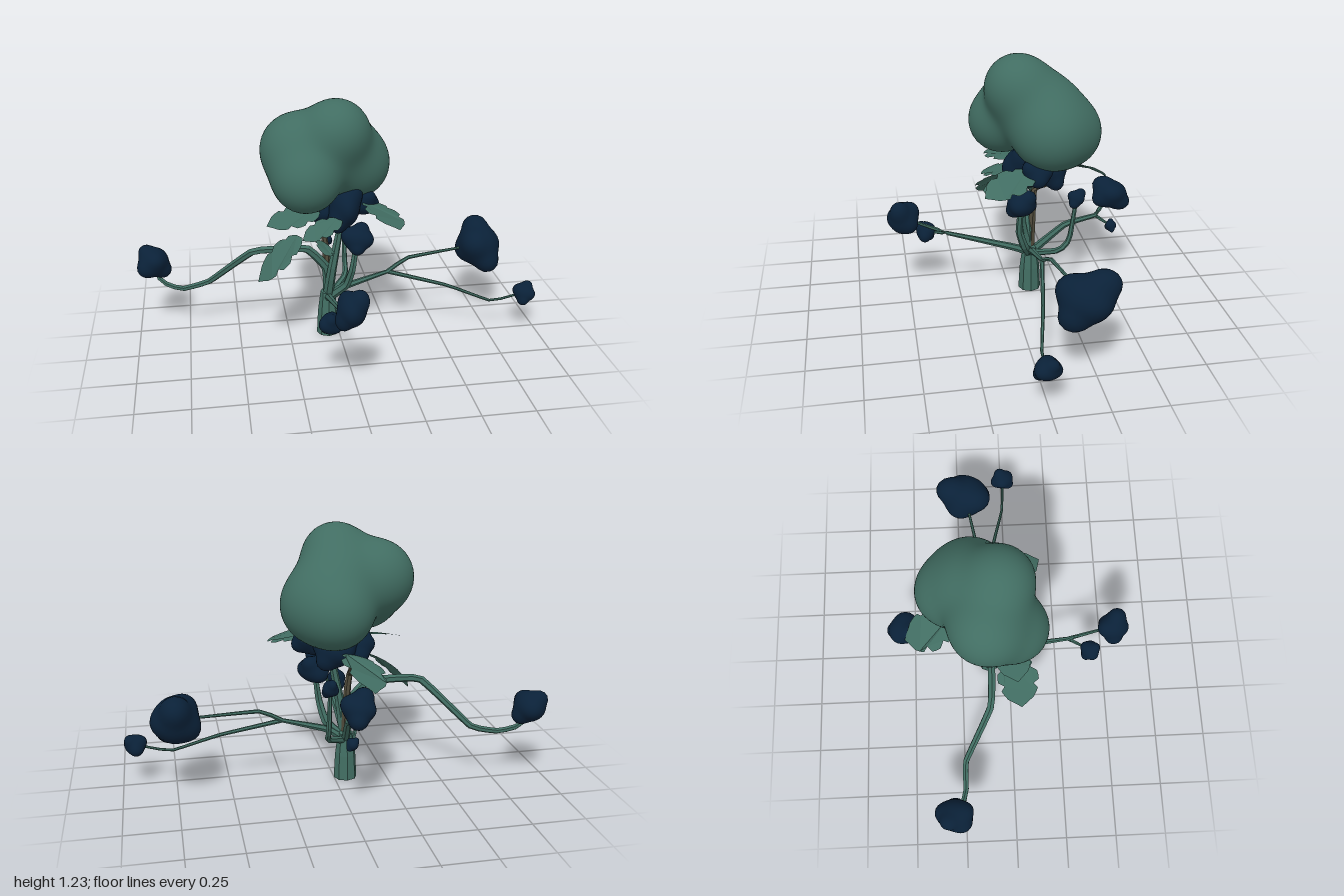
import * as THREE from 'three';
import { mergeVertices } from 'three/addons/utils/BufferGeometryUtils.js';

const V = (p) => new THREE.Vector3(...p);

// Smooth lumpy mass: rays from the centre stop at a soft union of balls { p, r }
function lumpGeometry(centre, balls, detail, soft) {
  const sphere = new THREE.IcosahedronGeometry(1, detail);
  sphere.deleteAttribute('uv');
  sphere.deleteAttribute('normal');
  const g = mergeVertices(sphere, 1e-4);
  const distance = (q) =>
    -soft * Math.log(balls.reduce((sum, b) => sum + Math.exp((b.r - q.distanceTo(b.p)) / soft), 0));
  const pos = g.attributes.position;
  const dir = new THREE.Vector3();
  const q = new THREE.Vector3();
  for (let i = 0; i < pos.count; i++) {
    dir.fromBufferAttribute(pos, i);
    let t = 2;
    for (let k = 0; k < 40; k++) t -= 0.9 * distance(q.copy(centre).addScaledVector(dir, t));
    q.copy(centre).addScaledVector(dir, t);
    pos.setXYZ(i, q.x, q.y, q.z);
  }
  g.computeVertexNormals();
  return g;
}

// Rounded five-lobed foliage clump of about unit radius; turn varies its shape
function clumpGeometry(turn) {
  const balls = [{ p: new THREE.Vector3(), r: 0.8 }];
  for (let i = 0; i < 5; i++) {
    const a = turn + i * 2.51;
    balls.push({
      p: new THREE.Vector3(Math.cos(a) * 0.46, i * 0.24 - 0.48, Math.sin(a) * 0.46),
      r: 0.47 + 0.05 * Math.sin(a * 3),
    });
  }
  return lumpGeometry(new THREE.Vector3(), balls, 5, 0.08);
}

function faceted(g) {
  const f = g.toNonIndexed();
  f.computeVertexNormals();
  return f;
}

// Six-sided limb that tapers to half its thickness
function limbGeometry(points, radius) {
  const curve = new THREE.CatmullRomCurve3(points.map(V), false, 'catmullrom', 0.15);
  const n = (points.length - 1) * 4, sides = 6;
  const g = new THREE.TubeGeometry(curve, n, radius, sides);
  const pos = g.attributes.position;
  const v = new THREE.Vector3();
  for (let k = 0; k < pos.count; k++) {
    const t = Math.floor(k / (sides + 1)) / n;
    const p = curve.getPointAt(t);
    v.fromBufferAttribute(pos, k).sub(p).multiplyScalar(1 - t / 2).add(p);
    pos.setXYZ(k, v.x, v.y, v.z);
  }
  return faceted(g);
}

// Broad notched leaf from base to tip, arched upwards; roll tilts it about its length
function leafGeometry(base, tip, width, arch, roll) {
  const outline = [new THREE.Vector2(0, 0)];
  const steps = 13;
  for (const s of [1, -1]) {
    for (let i = 1; i < steps; i++) {
      const u = (s > 0 ? i : steps - i) / steps;
      const notch = Math.round(u * steps) % 4 === 0 ? 0.74 : 1;
      outline.push(new THREE.Vector2(u, s * notch * Math.sin(Math.PI * u) ** 0.6));
    }
    if (s > 0) outline.push(new THREE.Vector2(1, 0));
  }
  const g = new THREE.ShapeGeometry(new THREE.Shape(outline));
  const along = V(tip).sub(V(base));
  const side = new THREE.Vector3(along.z, 0, -along.x).setLength(width);
  side.y = roll * width;
  const pos = g.attributes.position;
  for (let i = 0; i < pos.count; i++) {
    const u = pos.getX(i), w = pos.getY(i);
    const p = V(base).addScaledVector(along, u).addScaledVector(side, w);
    pos.setXYZ(i, p.x, p.y + arch * (4 * u * (1 - u) - 0.3 * w * w), p.z);
  }
  return faceted(g);
}

export function createModel() {
  const group = new THREE.Group();
  const material = (name, color, side = THREE.FrontSide) =>
    Object.assign(new THREE.MeshStandardMaterial({ color, side }), { name });
  const green = material('leafGreen', 0x416d62, THREE.DoubleSide);
  const navy = material('darkNavy', 0x0a2138);
  const brown = material('oliveBark', 0x504b3b);
  const add = (name, geometry, mat) => {
    const mesh = new THREE.Mesh(geometry, mat);
    mesh.name = name;
    group.add(mesh);
    return mesh;
  };
  let turn = 0;
  const clump = (name, centre, radii) => {
    const mesh = add(name, clumpGeometry(turn++), navy);
    mesh.position.set(...centre);
    mesh.scale.set(...radii);
  };
  // A limb, with a clump on its end when radii are given
  const grow = (name, radius, path, radii) => {
    add(`${name}Limb`, limbGeometry(path, radius), green);
    if (radii) clump(`${name}Clump`, path[path.length - 1], radii);
  };

  // Canopy
  const lobe = (x, y, z, r) => ({ p: new THREE.Vector3(x, y, z), r });
  add('canopy', lumpGeometry(new THREE.Vector3(-0.05, 0.93, -0.12), [
    lobe(-0.02, 1.08, -0.035, 0.15), lobe(-0.2, 0.985, -0.1, 0.17), lobe(-0.17, 0.87, 0.02, 0.155),
    lobe(0.09, 0.88, -0.17, 0.165), lobe(0.02, 0.86, -0.265, 0.155), lobe(0, 0.96, -0.15, 0.175),
  ], 14, 0.036), green);

  // Trunk
  const profile = [[0, 0], [0.056, 0], [0.05, 0.12], [0.036, 0.23], [0, 0.25]];
  const trunk = new THREE.LatheGeometry(profile.map(([r, y]) => new THREE.Vector2(r, y)), 8);
  add('trunk', faceted(trunk.translate(-0.055, 0, -0.105)), green);

  // Limbs spreading from the top of the trunk and from three forks
  const root = [-0.055, 0.19, -0.105];
  const leftFork = [0.25, 0.314, -0.105];
  const frontFork = [-0.055, 0.335, 0.3];
  const backFork = [-0.03, 0.385, -0.43];
  grow('right', 0.024, [root, [-0.06, 0.36, -0.1], [-0.16, 0.475, -0.09], [-0.42, 0.475, -0.1],
    [-0.64, 0.265, -0.235], [-0.78, 0.23, -0.24], [-0.88, 0.265, -0.27], [-0.91, 0.367, -0.29]],
  [0.092, 0.09, 0.1]);
  grow('left', 0.02, [root, [0.03, 0.25, -0.1], leftFork]);
  grow('upperLeft', 0.011, [leftFork, [0.36, 0.375, -0.125], [0.745, 0.39, -0.195]], [0.128, 0.132, 0.15]);
  grow('lowerLeft', 0.011, [leftFork, [0.55, 0.24, -0.05], [0.77, 0.16, 0], [0.935, 0.2, 0.01]],
    [0.06, 0.06, 0.067]);
  grow('front', 0.02, [root, [-0.055, 0.225, -0.04], frontFork]);
  grow('upperFront', 0.011, [frontFork, [-0.037, 0.445, 0.517]], [0.08, 0.098, 0.086]);
  grow('lowerFront', 0.01, [frontFork, [-0.117, 0.325, 0.408]], [0.055, 0.062, 0.055]);
  grow('back', 0.022, [root, [-0.045, 0.26, -0.18], [-0.03, 0.35, -0.28], backFork]);
  grow('upperBack', 0.012, [backFork, [-0.025, 0.5, -0.5]], [0.086, 0.082, 0.102]);
  grow('lowerBack', 0.01, [backFork, [0, 0.337, -0.503]], [0.032, 0.034, 0.03]);
  grow('curved', 0.018, [root, [0.055, 0.25, -0.23], [0.06, 0.31, -0.28], [0.06, 0.53, -0.31]],
    [0.042, 0.047, 0.047]);
  grow('inner', 0.025, [root, [0.035, 0.28, -0.06], [0.06, 0.38, -0.03], [0.082, 0.535, -0.038]],
    [0.084, 0.078, 0.084]);
  grow('crown', 0.028, [root, [-0.04, 0.36, -0.06], [0.025, 0.7, -0.07]], [0.09, 0.132, 0.13]);
  add('barkStem', limbGeometry([root, [-0.06, 0.45, -0.12], [-0.07, 0.54, -0.13],
    [-0.06, 0.565, -0.2], [-0.05, 0.62, -0.24]], 0.023), brown);

  // Clumps packed beneath the canopy
  clump('crownLeftClump', [0.125, 0.7, -0.1], [0.082, 0.076, 0.08]);
  clump('crownRightClump', [-0.1, 0.68, -0.13], [0.095, 0.082, 0.1]);
  clump('crownBackClump', [0.01, 0.67, -0.185], [0.115, 0.1, 0.09]);

  // Leaves: base, tip, half width, arch, roll
  const leaf = (name, ...shape) => add(name, leafGeometry(...shape), green);
  leaf('leftLeaf', [0.14, 0.71, -0.09], [0.25, 0.65, 0.16], 0.09, 0.015, -0.25);
  leaf('rightLeaf', [-0.1, 0.69, -0.02], [-0.36, 0.655, 0.03], 0.09, 0.015, -0.2);
  leaf('droopingLeaf', [-0.19, 0.58, 0.02], [-0.41, 0.38, 0.05], 0.1, 0.03, -0.2);
  leaf('frontLeaf', [0, 0.66, 0.03], [-0.2, 0.6, 0.1], 0.055, 0.015, -0.4);
  leaf('lowerLeaf', [-0.08, 0.54, 0], [-0.1, 0.53, 0.12], 0.045, 0.01, -0.7);
  leaf('backLeaf', [-0.06, 0.66, -0.24], [-0.1, 0.56, -0.5], 0.1, 0.04, -0.3);

  return group;
}
